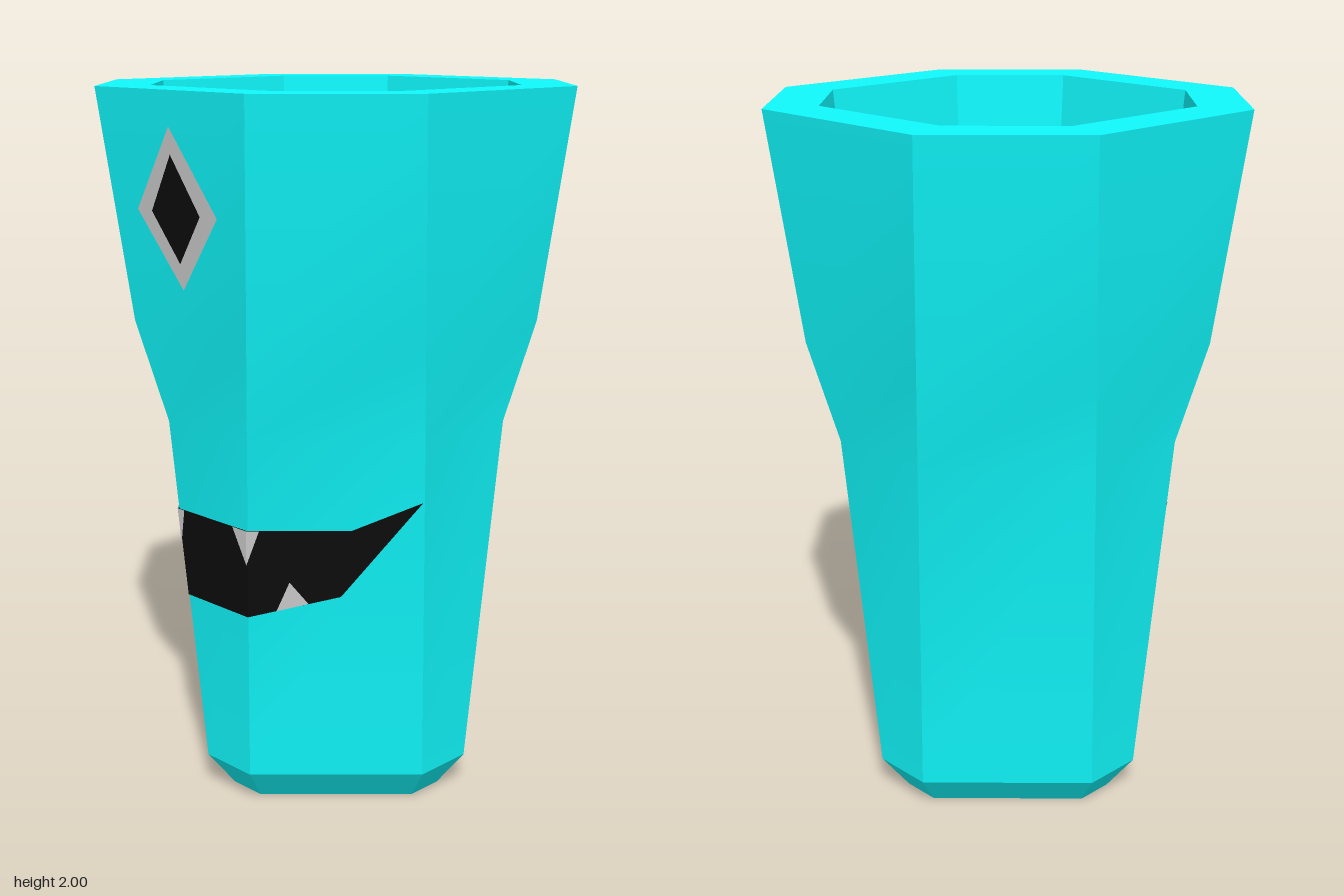
import * as THREE from 'three';
import { toCreasedNormals } from 'three/addons/utils/BufferGeometryUtils.js';

// Cup sections: [height, half width, half length of the flat side]
const OUTER = [[0, 0.365, 0.055], [0.1, 0.435, 0.09], [1.1, 0.49, 0.16], [1.38, 0.545, 0.225], [2, 0.6, 0.293]];
const INNER = [[2, 0.46, 0.235], [0.1, 0.303, 0.155]];

// Eight corners of a square with cut corners, turning about y
function ring([y, a, b]) {
  const points = [];
  let corners = [[a, b], [a, -b]];
  for (let k = 0; k < 4; k++) {
    corners.forEach(([x, z]) => points.push([x, y, z]));
    corners = corners.map(([x, z]) => [z, -x]);
  }
  return points;
}

// Joins the sections from the bottom centre, over the rim, to the floor centre
function cupGeometry() {
  const sections = [[0, 0, 0], ...OUTER, ...INNER, [0.1, 0, 0]];
  const positions = [];
  for (let s = 0; s < sections.length - 1; s++) {
    const lo = ring(sections[s]);
    const hi = ring(sections[s + 1]);
    for (let i = 0; i < 8; i++) {
      const j = (i + 1) % 8;
      if (sections[s][1] > 0) positions.push(...lo[i], ...lo[j], ...hi[j]);
      if (sections[s + 1][1] > 0) positions.push(...lo[i], ...hi[j], ...hi[i]);
      else if (sections[s][1] === 0) continue;
    }
  }
  const geometry = new THREE.BufferGeometry();
  geometry.setAttribute('position', new THREE.Float32BufferAttribute(positions, 3));
  return toCreasedNormals(geometry, 0.4);
}

// Depth of the cup's front at x, y: the front panel or a slanted corner panel
function frontZ(x, y) {
  let i = 0;
  while (i < OUTER.length - 2 && y > OUTER[i + 1][0]) i++;
  const [p, q] = [OUTER[i], OUTER[i + 1]];
  const t = (y - p[0]) / (q[0] - p[0]);
  const a = THREE.MathUtils.lerp(p[1], q[1], t);
  const b = THREE.MathUtils.lerp(p[2], q[2], t);
  return Math.min(a, a + b - Math.abs(x));
}

// Flat patch laid on the front of the cup
function patch(name, outline, material, lift) {
  const shape = new THREE.Shape(outline.map(([x, y]) => new THREE.Vector2(x, y)));
  const geometry = new THREE.ShapeGeometry(shape);
  const pos = geometry.attributes.position;
  for (let i = 0; i < pos.count; i++) pos.setZ(i, frontZ(pos.getX(i), pos.getY(i)) + lift);
  geometry.computeVertexNormals();
  const mesh = new THREE.Mesh(geometry, material);
  mesh.name = name;
  return mesh;
}

export function createModel() {
  const cyan = new THREE.MeshStandardMaterial({ color: 0x10f8fc });
  const black = new THREE.MeshStandardMaterial({ color: 0x0c0c0c, side: THREE.DoubleSide });
  const grey = new THREE.MeshStandardMaterial({ color: 0xcccccc, side: THREE.DoubleSide });
  const model = new THREE.Group();
  model.name = 'cup';

  // Hollow body
  const body = new THREE.Mesh(cupGeometry(), cyan);
  body.name = 'body';
  model.add(body);

  // Diamond eye
  const diamond = (w, low, high) => [[-w, 1.69], [0, low], [w, 1.69], [0, high]];
  const eye = new THREE.Group();
  eye.name = 'eye';
  eye.add(patch('eyeRim', diamond(0.157, 1.49, 1.91), grey, 0.003));
  eye.add(patch('pupil', diamond(0.095, 1.56, 1.84), black, 0.006));
  model.add(eye);

  // Mouth: a front panel and two panels around the corners
  const mouth = new THREE.Group();
  mouth.name = 'mouth';
  const mouthPanels = [
    [[-0.1425, 0.85], [-0.125, 0.595], [0.125, 0.595], [0.1425, 0.85]],
    [[-0.479, 0.92], [-0.304, 0.637], [-0.125, 0.595], [-0.1425, 0.85], [-0.34, 0.85]],
    [[0.479, 0.93], [0.34, 0.85], [0.1425, 0.85], [0.125, 0.595], [0.308, 0.656]],
  ];
  mouthPanels.forEach((outline) => mouth.add(patch('mouthPanel', outline, black, 0.003)));

  // Teeth; the upper ones fold over the corner edges
  for (const [outer, inner, side] of [[0.188, 0.114, -1], [0.167, 0.087, 1]]) {
    for (const x of [outer, inner]) {
      const half = [[side * x, 0.85], [side * 0.1425, 0.85], [side * 0.1355, 0.75]];
      mouth.add(patch('upperTooth', half, grey, 0.006));
    }
  }
  mouth.add(patch('lowerTooth', [[-0.25, 0.624], [-0.2, 0.612], [-0.225, 0.695]], grey, 0.006));
  mouth.add(patch('lowerTooth', [[0.183, 0.614], [0.246, 0.636], [0.214, 0.7]], grey, 0.006));
  model.add(mouth);

  return model;
}
